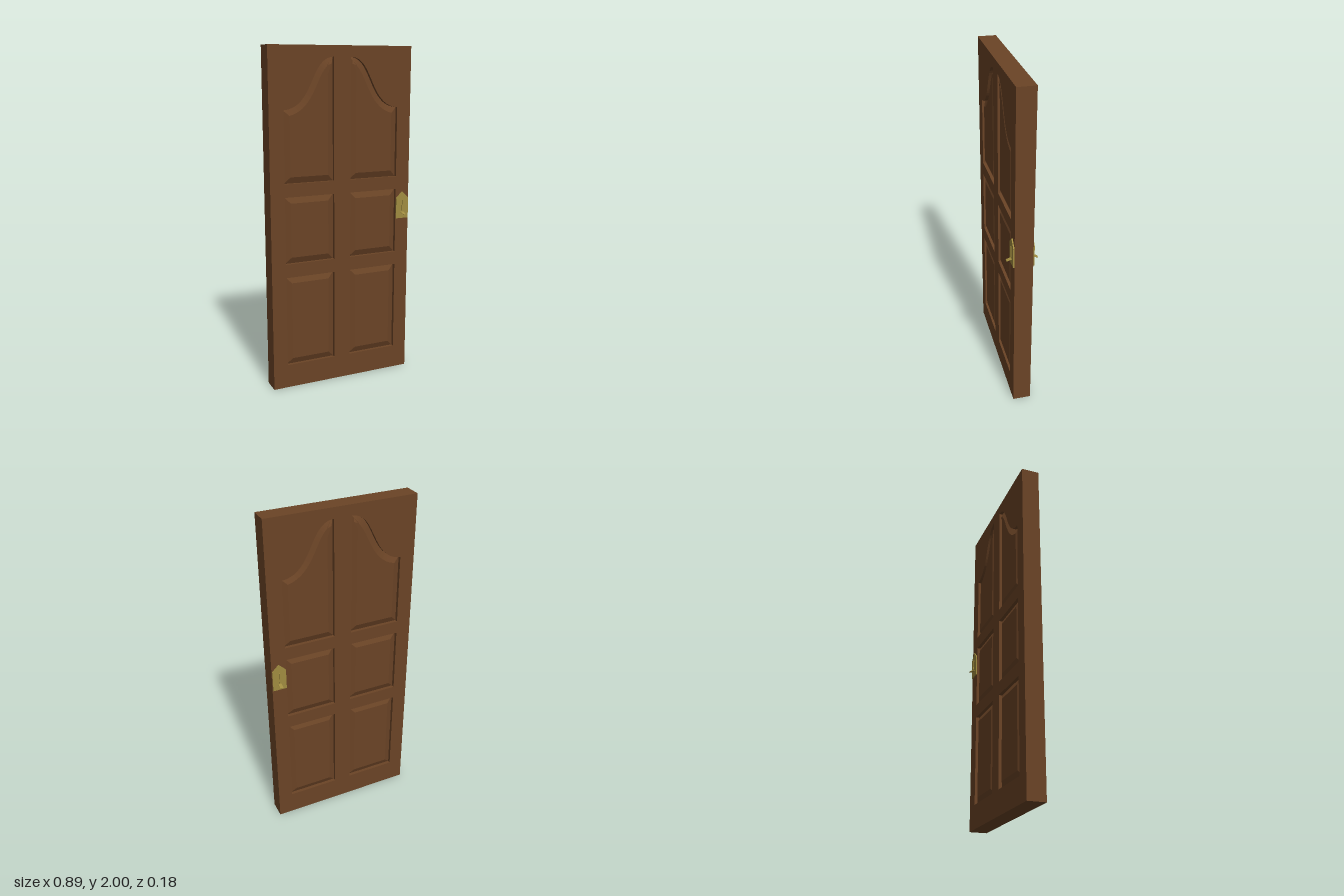
import * as THREE from 'three';
import { RoundedBoxGeometry } from 'three/addons/geometries/RoundedBoxGeometry.js';

const W = 0.444, H = 2, T = 0.053;            // half width, height, half thickness
const GROOVE = 0.02, FIELD = 0.004, BEVEL = 0.037;

const wood = new THREE.MeshStandardMaterial({ color: 0x6b4426 });
const brass = new THREE.MeshStandardMaterial({ color: 0xa08c40 });

const rect = (x0, y0, x1, y1) =>
  [[x0, y0], [x1, y0], [x1, y1], [x0, y1]].map(p => new THREE.Vector2(...p));

// Counter-clockwise outline of the upper panel with its S-curved top
function archOutline() {
  const curve = new THREE.CubicBezierCurve(
    new THREE.Vector2(0.357, 1.648), new THREE.Vector2(0.17, 1.66),
    new THREE.Vector2(0.2, 1.937), new THREE.Vector2(0.052, 1.937));
  return [new THREE.Vector2(0.052, 1.235), new THREE.Vector2(0.357, 1.235), ...curve.getPoints(20)];
}

const mirrorX = pts => pts.map(p => new THREE.Vector2(-p.x, p.y)).reverse();

// Moves every edge of a counter-clockwise outline inward by d
function inset(pts, d) {
  const n = pts.length;
  return pts.map((p, i) => {
    const a = p.clone().sub(pts[(i + n - 1) % n]).normalize();
    const b = pts[(i + 1) % n].clone().sub(p).normalize();
    const na = new THREE.Vector2(-a.y, a.x), nb = new THREE.Vector2(-b.y, b.x);
    return na.clone().add(nb).multiplyScalar(d / (1 + na.dot(nb))).add(p);
  });
}

// Sloping border from the groove floor up to the raised field
function bevelGeometry(outer, inner) {
  const pos = [], n = outer.length, z0 = T - GROOVE, z1 = T - FIELD;
  for (let i = 0; i < n; i++) {
    const j = (i + 1) % n;
    const a = [outer[i].x, outer[i].y, z0], b = [outer[j].x, outer[j].y, z0];
    const c = [inner[j].x, inner[j].y, z1], d = [inner[i].x, inner[i].y, z1];
    pos.push(...a, ...b, ...c, ...a, ...c, ...d);
  }
  const g = new THREE.BufferGeometry();
  g.setAttribute('position', new THREE.Float32BufferAttribute(pos, 3));
  g.computeVertexNormals();
  return g;
}

function add(parent, name, geometry, material) {
  const mesh = new THREE.Mesh(geometry, material);
  mesh.name = name;
  parent.add(mesh);
  return mesh;
}

// Pointed lock plate with a raised spine and a curved thumb latch
function createHandle() {
  const g = new THREE.Group();
  g.name = 'handle';
  const plate = new THREE.Shape([[-0.041, 0.975], [0.041, 0.975], [0.041, 1.1], [0, 1.14], [-0.041, 1.1]]
    .map(p => new THREE.Vector2(...p)));
  add(g, 'lockPlate', new THREE.ExtrudeGeometry(plate, { depth: 0.008, bevelEnabled: false }), brass)
    .position.z = T - 0.001;
  add(g, 'plateSpine', new THREE.BoxGeometry(0.005, 0.065, 0.008), brass)
    .position.set(0, 1.055, T + 0.009);

  const latch = new RoundedBoxGeometry(0.027, 0.006, 0.038, 3, 0.003);
  const p = latch.attributes.position;
  for (let i = 0; i < p.count; i++) {
    const t = (p.getZ(i) + 0.019) / 0.038;
    p.setX(i, p.getX(i) * (0.75 + 0.25 * Math.sin(Math.min(1, t * 1.6) * Math.PI / 2)) * (t > 0.9 ? 0.8 : 1));
    p.setY(i, p.getY(i) - 0.012 * t * t);
  }
  latch.computeVertexNormals();
  add(g, 'thumbLatch', latch, brass).position.set(0, 1.014, T + 0.018);
  return g;
}

export function createModel() {
  const door = new THREE.Group();
  door.name = 'door';

  const half = [rect(0.052, 0.142, 0.357, 0.684), rect(0.052, 0.765, 0.357, 1.158), archOutline()];
  const outlines = [...half, ...half.map(mirrorX)];

  // Frame with six panel openings
  const frame = new THREE.Shape(rect(-W, 0, W, H));
  outlines.forEach(o => frame.holes.push(new THREE.Path(o)));
  add(door, 'doorFrame', new THREE.ExtrudeGeometry(frame, { depth: 2 * T, bevelEnabled: false }), wood)
    .position.z = -T;

  // Raised panels and lock hardware on both faces
  for (const back of [false, true]) {
    const face = new THREE.Group();
    face.name = back ? 'backFace' : 'frontFace';
    face.rotation.y = back ? Math.PI : 0;
    outlines.forEach(o => {
      const inner = inset(o, BEVEL);
      add(face, 'panelBevel', bevelGeometry(o, inner), wood);
      add(face, 'panelField', new THREE.ShapeGeometry(new THREE.Shape(inner)), wood)
        .position.z = T - FIELD;
    });
    const handle = createHandle();
    handle.position.x = back ? -0.4 : 0.4;
    face.add(handle);
    door.add(face);
  }
  return door;
}
